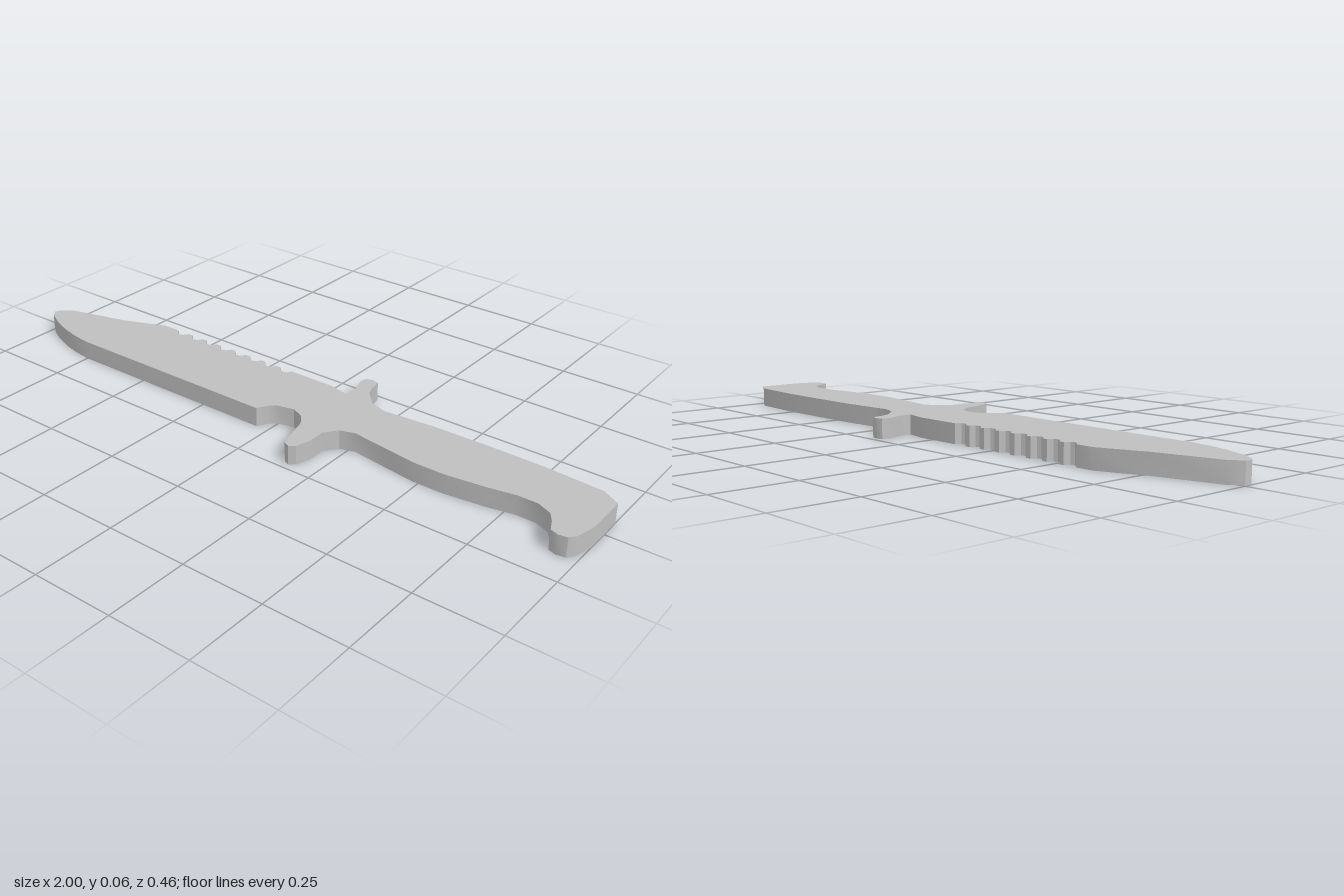
import * as THREE from 'three';
import { toCreasedNormals } from 'three/addons/utils/BufferGeometryUtils.js';

const THICKNESS = 0.06;

// Outline pieces as [x, z], listed in order around the knife
const bladeTip = [[-0.985, 0.045], [-1, 0.025], [-0.995, 0.008], [-0.96, -0.02], [-0.77, -0.07], [-0.63, -0.125]];
const upperGuard = [[0.05, -0.125], [0.118, -0.11], [0.118, -0.15], [0.1, -0.2], [0.105, -0.226], [0.125, -0.232],
  [0.147, -0.227], [0.152, -0.19], [0.165, -0.157], [0.21, -0.11], [0.26, -0.095]];
const gripBack = [[0.3, -0.098], [0.43, -0.108], [0.6, -0.11], [0.77, -0.108], [0.945, -0.097], [1, -0.065]];
const pommelHook = [[1, 0.07], [0.985, 0.13], [0.97, 0.148], [0.945, 0.153], [0.92, 0.145], [0.905, 0.11],
  [0.885, 0.08], [0.84, 0.06], [0.78, 0.06]];
const gripBelly = [[0.7, 0.075], [0.58, 0.09], [0.48, 0.09], [0.4, 0.079], [0.27, 0.06]];
const lowerGuard = [[0.225, 0.075], [0.195, 0.115], [0.195, 0.17], [0.183, 0.217], [0.165, 0.23], [0.145, 0.22],
  [0.13, 0.17], [0.115, 0.11], [0.09, 0.075], [0.05, 0.058]];
const cuttingEdge = [[0, 0.07], [-0.02, 0.085], [-0.04, 0.12], [-0.75, 0.12], [-0.81, 0.112], [-0.87, 0.097], [-0.94, 0.07]];

// Row of rounded notches along the spine
function spineNotches(count, start, pitch) {
  const points = [];
  for (let i = 0; i < count; i++) {
    const x = start + i * pitch;
    points.push([x - 0.022, -0.125], [x - 0.012, -0.11], [x, -0.106], [x + 0.012, -0.11], [x + 0.022, -0.125]);
  }
  return points;
}

export function createModel() {
  const group = new THREE.Group();
  group.name = 'knife';
  const steel = new THREE.MeshStandardMaterial({ color: 0xbfbfbf });
  steel.name = 'grey';

  const outline = [...bladeTip, ...spineNotches(8, -0.55, 0.061), ...upperGuard, ...gripBack,
    ...pommelHook, ...gripBelly, ...lowerGuard, ...cuttingEdge];
  const shape = new THREE.Shape(outline.map(([x, z]) => new THREE.Vector2(x, -z)));

  // One flat slab: blade, guard and grip, lying on its side
  let geometry = new THREE.ExtrudeGeometry(shape, { depth: THICKNESS, bevelEnabled: false });
  geometry.rotateX(-Math.PI / 2);
  geometry = toCreasedNormals(geometry, 0.6);
  geometry.clearGroups();

  const body = new THREE.Mesh(geometry, steel);
  body.name = 'knifeBody';
  group.add(body);
  return group;
}
